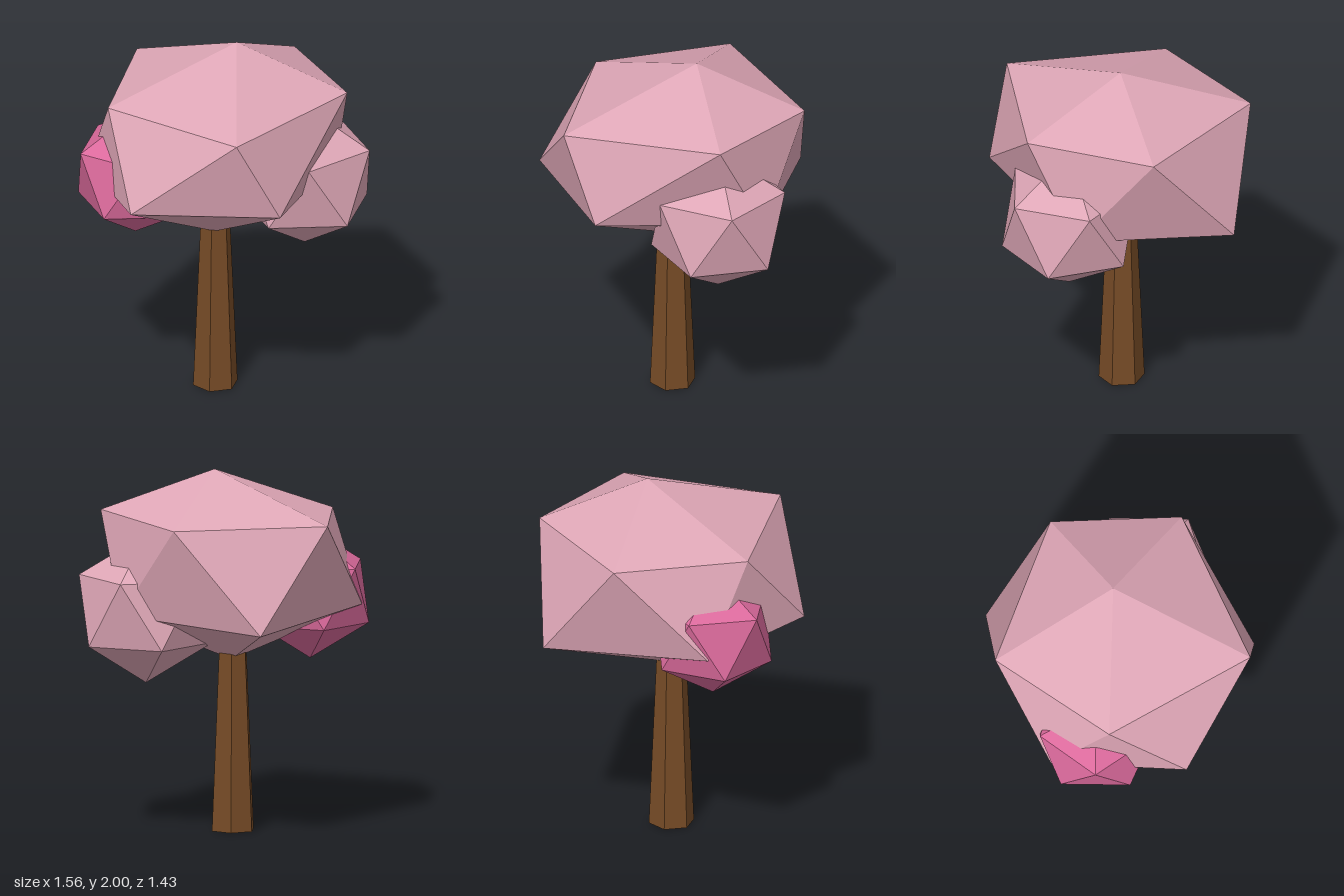
import * as THREE from 'three';

const flat = (name, color) => {
  const m = new THREE.MeshStandardMaterial({ color, flatShading: true });
  m.name = name;
  return m;
};

// Twenty-sided leaf clump: a top point, two staggered rings of five, a bottom point
function clumpGeometry(top, upper, lower, bottom) {
  const tris = [];
  for (let i = 0; i < 5; i++) {
    const j = (i + 1) % 5;
    tris.push(top, upper[j], upper[i]);
    tris.push(upper[i], upper[j], lower[i]);
    tris.push(lower[i], upper[j], lower[j]);
    tris.push(lower[i], lower[j], bottom);
  }
  const g = new THREE.BufferGeometry();
  g.setAttribute('position', new THREE.Float32BufferAttribute(tris.flat(), 3));
  g.computeVertexNormals();
  return g;
}

// Regular clump of radius r standing on one point
function regularClump(r) {
  const ring = (y, turn) => Array.from({ length: 5 }, (_, i) => {
    const a = (i + turn) * Math.PI * 2 / 5;
    return [Math.cos(a) * r * 0.8944, y, Math.sin(a) * r * 0.8944];
  });
  return clumpGeometry([0, r, 0], ring(r * 0.4472, 0), ring(-r * 0.4472, 0.5), [0, -r, 0]);
}

export function createModel() {
  const model = new THREE.Group();
  model.name = 'blossomTree';
  const bark = flat('bark brown', 0x764b26);
  const blossom = flat('blossom pink', 0xdea6b6);
  const magenta = flat('deep pink', 0xdb6a9c);

  const add = (name, geometry, material, x = 0, y = 0, z = 0) => {
    const mesh = new THREE.Mesh(geometry, material);
    mesh.name = name;
    mesh.position.set(x, y, z);
    model.add(mesh);
  };

  // Tapered six-sided trunk
  add('trunk', new THREE.CylinderGeometry(0.073, 0.125, 1.2, 6), bark, -0.05, 0.6, 0.035);

  // Large uneven crown
  add('mainCrown', clumpGeometry(
    [0.04, 2, -0.08],
    [[0.66, 1.77, -0.08], [0.24, 1.75, 0.7], [-0.57, 1.73, 0.35], [-0.6, 1.74, -0.4], [0.22, 1.74, -0.64]],
    [[0.45, 1.29, 0.57], [-0.35, 1.28, 0.71], [-0.75, 1.24, 0.09], [-0.26, 1.18, -0.72], [0.53, 1.23, -0.35]],
    [-0.04, 0.93, 0.08],
  ), blossom);

  // Smaller clumps at each side
  add('leftClump', regularClump(0.408), blossom, 0.41, 1.235, -0.12);
  add('rightClump', regularClump(0.358), magenta, -0.46, 1.285, 0.18);

  return model;
}
